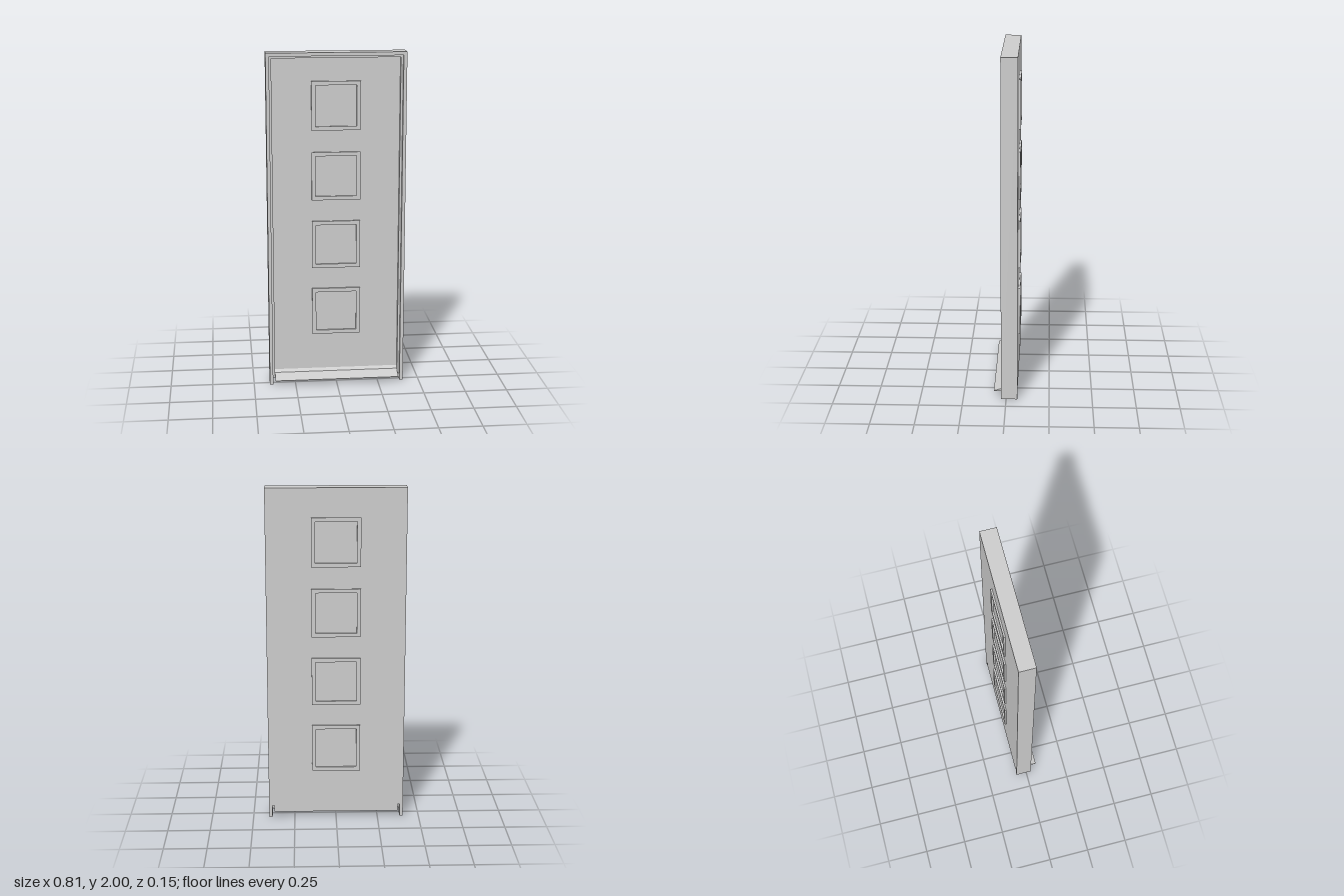
import * as THREE from 'three';

const material = new THREE.MeshStandardMaterial({ color: 0xcccccc, flatShading: true });

// Closed outline extruded from z0 to z1, with optional holes
function slab(name, points, z0, z1, holes = []) {
  const toVectors = (list) => list.map(([x, y]) => new THREE.Vector2(x, y));
  const shape = new THREE.Shape(toVectors(points));
  holes.forEach((hole) => shape.holes.push(new THREE.Path(toVectors(hole))));
  const geometry = new THREE.ExtrudeGeometry(shape, { depth: z1 - z0, bevelEnabled: false });
  geometry.translate(0, 0, z0);
  const mesh = new THREE.Mesh(geometry, material);
  mesh.name = name;
  return mesh;
}

// Upside-down U outline: two legs and a head
function archOutline(outerX, outerTop, innerX, innerTop, bottom) {
  return [
    [-outerX, bottom], [-innerX, bottom], [-innerX, innerTop], [innerX, innerTop],
    [innerX, bottom], [outerX, bottom], [outerX, outerTop], [-outerX, outerTop],
  ];
}

function square(half) {
  return [[-half, -half], [half, -half], [half, half], [-half, half]];
}

export function createModel() {
  const group = new THREE.Group();
  group.name = 'panelDoor';
  const back = -0.065, leafFront = -0.015, front = 0.03;

  // Outer door frame and the smaller stop inside it
  group.add(slab('doorFrame', archOutline(0.405, 2, 0.385, 1.98, 0), back, front));
  group.add(slab('frameStop', archOutline(0.385, 1.98, 0.372, 1.967, 0.035), leafFront, 0.008));

  // Door leaf, notched at both bottom corners
  group.add(slab('doorLeaf', [
    [-0.372, 0.035], [0.372, 0.035], [0.372, 0.075], [0.385, 0.075],
    [0.385, 1.98], [-0.385, 1.98], [-0.385, 0.075], [-0.372, 0.075],
  ], back, leafFront));

  // Four square window trims on each side of the leaf
  for (let i = 0; i < 4; i++) {
    const y = 0.445 + i * 0.4145;
    for (const [side, z] of [['front', leafFront], ['back', back - 0.01]]) {
      const trim = slab(side + 'WindowTrim' + (i + 1), square(0.143), z, z + 0.01, [square(0.12)]);
      trim.position.y = y;
      group.add(trim);
    }
  }

  // Sloping weather bar: side profile (-z, y) swept across the width
  const bar = slab('weatherBar', [
    [0.015, 0.035], [0.015, 0.08], [0.005, 0.062], [-0.072, 0.038], [-0.072, 0.035],
  ].reverse(), -0.372, 0.372);
  bar.geometry.rotateY(Math.PI / 2);
  group.add(bar);

  return group;
}
